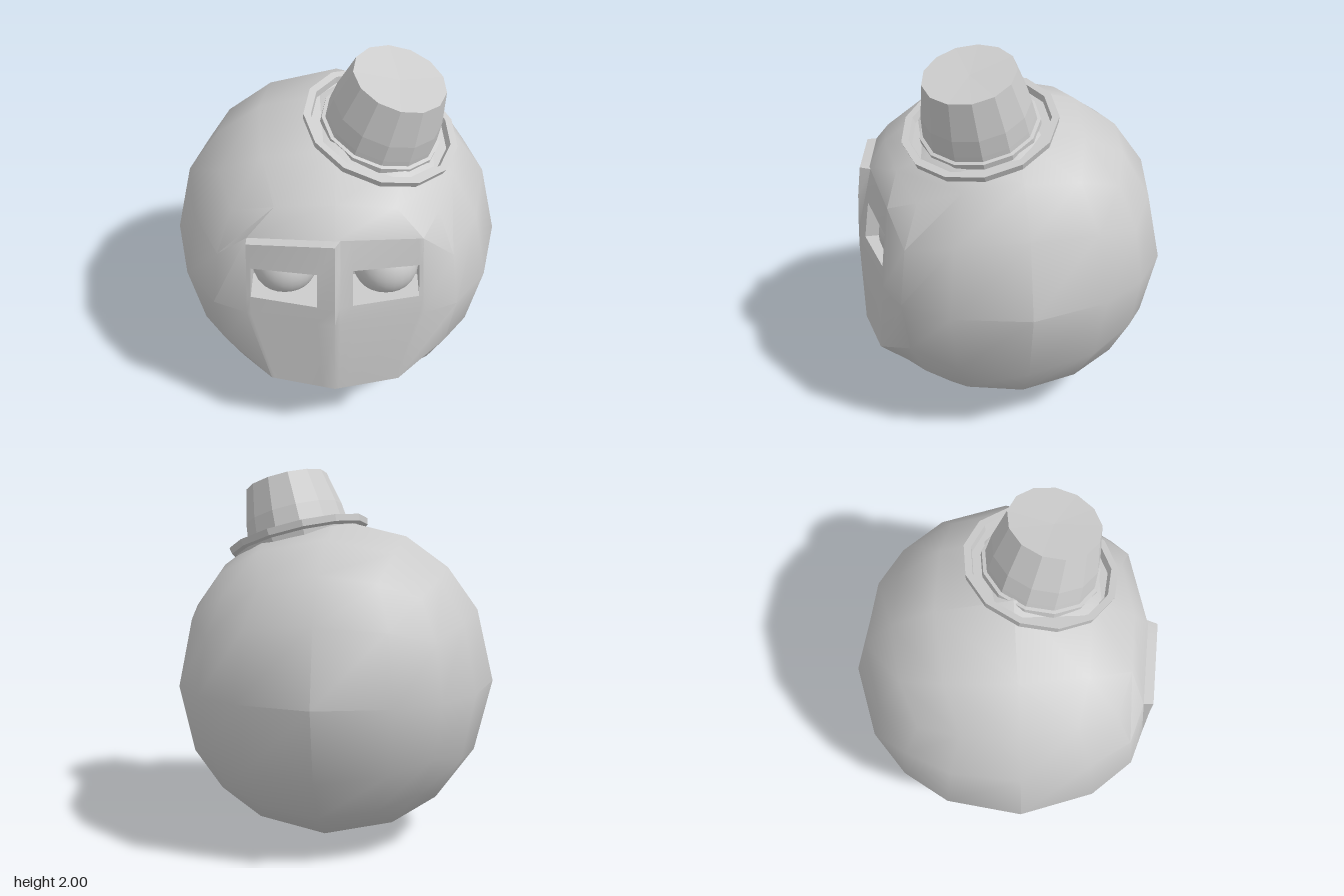
import * as THREE from 'three';
import { toCreasedNormals } from 'three/addons/utils/BufferGeometryUtils.js';

const grey = new THREE.MeshStandardMaterial({ color: 0xcccccc });
const faceted = new THREE.MeshStandardMaterial({ color: 0xcccccc, flatShading: true, side: THREE.DoubleSide });
const R = 0.866;
const CENTRE = new THREE.Vector3(0, 0.868, 0.04);

// Face rows: y at the ridge, y at the side, half width, z at the ridge, z at the side, brow bulge
const ROWS = [
  [0.41, 0.43, 0.33, 0.82, 0.76, 0],
  [0.87, 0.87, 0.44, 0.825, 0.73, 0],
  [0.975, 0.98, 0.435, 0.81, 0.7175, 0.012],
  [1.18, 1.16, 0.427, 0.78, 0.697, 0.03],
  [1.34, 1.31, 0.42, 0.74, 0.68, 0.05],
  [1.34, 1.31, 0.42, 0.74, 0.68, 0],
];
// Face columns: position across, and whether the raised brow side applies
const COLS = [[-1, 0], [-1, 1], [-0.95, 1], [-0.2, 1], [0, 1], [0.06, 0], [0.2, 0], [0.95, 0], [1, 0]];

function facePoint(row, [u, raised]) {
  const [y0, y1, w, z0, z1, bulge] = row;
  const a = Math.abs(u);
  return new THREE.Vector3(u * w, y0 + (y1 - y0) * a, z0 + (z1 - z0) * a + raised * bulge);
}

// Cube sphere whose inner front vertices move to the rim of the face
function headTriangles(out) {
  const box = new THREE.BoxGeometry(2, 2, 2, 4, 4, 4).toNonIndexed().attributes.position;
  for (let i = 0; i < box.count; i += 3) {
    let inner = 0;
    const tri = [0, 1, 2].map((k) => {
      const v = new THREE.Vector3().fromBufferAttribute(box, i + k);
      if (v.z > 0.99 && Math.abs(v.x) < 0.6 && Math.abs(v.y) < 0.6) {
        inner++;
        const row = v.y < -0.1 ? ROWS[0] : v.y < 0.1 ? ROWS[1] : ROWS[5];
        return facePoint(row, [Math.round(v.x * 2), 0]);
      }
      return v.normalize().multiplyScalar(R).add(CENTRE);
    });
    if (inner < 3) tri.forEach((v) => out.push(v.x, v.y, v.z));
  }
}

// Face panel with raised brow and two eye sockets
function faceTriangles(out) {
  const quad = (a, b, c, d) => [a, b, c, a, c, d].forEach((v) => out.push(v.x, v.y, v.z));
  for (let r = 0; r < ROWS.length - 1; r++) {
    for (let c = 0; c < COLS.length - 1; c++) {
      const ring = [
        facePoint(ROWS[r], COLS[c]), facePoint(ROWS[r], COLS[c + 1]),
        facePoint(ROWS[r + 1], COLS[c + 1]), facePoint(ROWS[r + 1], COLS[c]),
      ];
      if (r === 2 && (c === 2 || c === 6)) {
        // Socket walls and floor
        const back = ring.map((p) => new THREE.Vector3(p.x, p.y, 0.56));
        for (let k = 0; k < 4; k++) {
          const n = (k + 1) % 4;
          quad(ring[k], ring[n], back[n], back[k]);
        }
        quad(...back);
      } else {
        quad(...ring);
      }
    }
  }
}

function createHead() {
  const pos = [];
  headTriangles(pos);
  faceTriangles(pos);
  const geo = new THREE.BufferGeometry();
  geo.setAttribute('position', new THREE.Float32BufferAttribute(pos, 3));
  const head = new THREE.Mesh(toCreasedNormals(geo, 0.6), grey);
  head.name = 'head';
  return head;
}

// Tilted hat: upturned brim and tapered crown in lathes
function createHat() {
  const lathe = (name, pts) => {
    const mesh = new THREE.Mesh(
      new THREE.LatheGeometry(pts.map(([r, h]) => new THREE.Vector2(r, h)), 13), faceted);
    mesh.name = name;
    return mesh;
  };
  const hat = new THREE.Group();
  hat.name = 'hat';
  hat.add(
    lathe('brim', [[0.25, -0.1], [0.355, -0.08], [0.365, -0.04], [0.39, -0.03], [0.397, 0.005],
      [0.36, 0.005], [0.35, -0.03], [0.26, -0.03]]),
    lathe('hatBand', [[0.305, -0.03], [0.305, 0], [0.28, 0.005]]),
    lathe('crown', [[0.29, -0.03], [0.285, 0.03], [0.275, 0.12], [0.232, 0.31], [0, 0.3]]),
  );
  hat.position.set(0.225, 1.635, 0.19);
  hat.quaternion.setFromUnitVectors(
    new THREE.Vector3(0, 1, 0), new THREE.Vector3(0.27, 1, 0.2).normalize());
  return hat;
}

export function createModel() {
  const model = new THREE.Group();
  model.name = 'roundHeadWithHat';
  model.add(createHead(), createHat());
  for (const side of [-1, 1]) {
    const eye = new THREE.Mesh(new THREE.SphereGeometry(0.165, 24, 16), grey);
    eye.name = side > 0 ? 'leftEye' : 'rightEye';
    eye.position.set(side * 0.25, 1.07, 0.56);
    model.add(eye);
  }
  return model;
}
